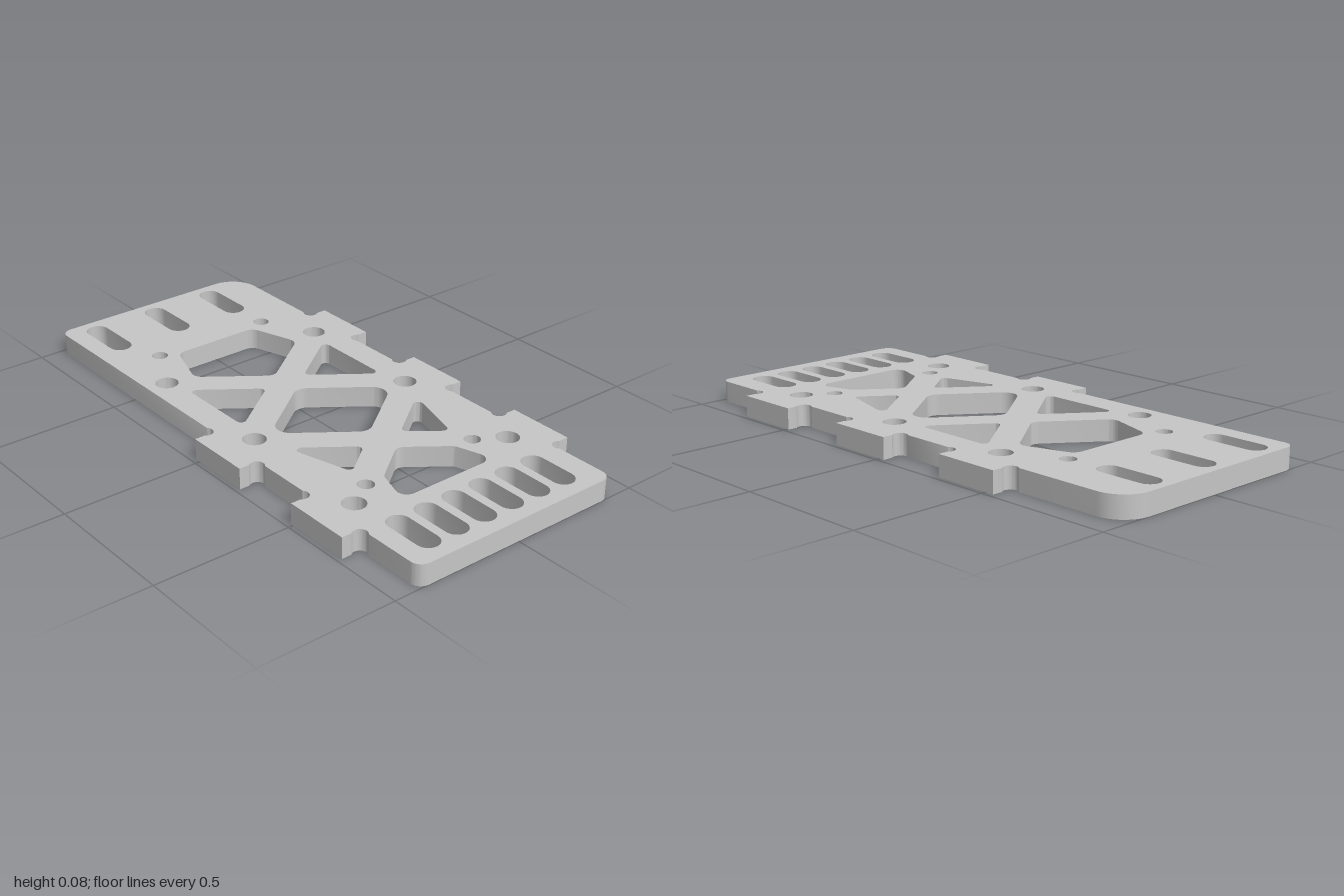
import * as THREE from 'three';
import { toCreasedNormals } from 'three/addons/utils/BufferGeometryUtils.js';

const THICK = 0.077, HALF_W = 0.409, TAB_X = 0.483;
const V = (x, z) => new THREE.Vector2(x, z);

// Points along an arc, angles in radians
function arc(cx, cz, r, a0, a1, n = 12) {
  return Array.from({ length: n + 1 }, (_, i) => {
    const a = a0 + (a1 - a0) * i / n;
    return V(cx + r * Math.cos(a), cz + r * Math.sin(a));
  });
}

// Polygon corner p replaced by a tangent arc of radius r
function fillet(prev, p, next, r) {
  const u = prev.clone().sub(p).normalize(), w = next.clone().sub(p).normalize();
  const half = Math.acos(u.dot(w)) / 2;
  const c = p.clone().addScaledVector(u.clone().add(w).normalize(), r / Math.sin(half));
  const t = r / Math.tan(half);
  const s = p.clone().addScaledVector(u, t).sub(c), e = p.clone().addScaledVector(w, t).sub(c);
  const a0 = s.angle();
  let d = e.angle() - a0;
  if (d > Math.PI) d -= 2 * Math.PI;
  if (d < -Math.PI) d += 2 * Math.PI;
  return arc(c.x, c.y, r, a0, a0 + d);
}

const rounded = (pts, r) => pts.flatMap((p, i) =>
  fillet(pts[(i + pts.length - 1) % pts.length], p, pts[(i + 1) % pts.length], r));

// Slot running along z with round ends
const slot = (x, z0, z1, r) => [
  ...arc(x, z1 - r, r, 0, Math.PI), ...arc(x, z0 + r, r, Math.PI, 2 * Math.PI),
];
const circle = (x, z, r) => arc(x, z, r, 0, 2 * Math.PI, 32).slice(0, -1);
const mirror = pts => pts.map(p => V(-p.x, p.y));

// One edge of the plate, back to front, with tabs and round relief notches
function edge(tabCentres) {
  const k = 0.0185, r = k * Math.SQRT2, q = Math.PI / 4;
  return tabCentres.flatMap(z => {
    const a = z - 0.123, b = z + 0.123;
    return [
      ...arc(HALF_W + k, a - k, r, 5 * q, q),
      V(TAB_X, a), V(TAB_X, b),
      ...arc(HALF_W + k, b + k, r, -q, -5 * q),
    ];
  });
}

function outline() {
  const c = [V(-HALF_W, -1), V(HALF_W, -1), V(HALF_W, 1), V(-HALF_W, 1)];
  return [
    ...fillet(c[3], c[0], c[1], 0.04),
    ...fillet(c[0], c[1], c[2], 0.11),
    ...edge([-0.412, 0.102, 0.615]),
    ...fillet(c[1], c[2], c[3], 0.04),
    ...fillet(c[2], c[3], c[0], 0.04),
    ...mirror(edge([0.102, 0.615])).reverse(),
  ];
}

function cutouts() {
  const holes = [];
  // Mounting slots at the back and front
  for (const x of [-0.296, -0.036, 0.219]) holes.push(slot(x, -0.967, -0.728, 0.041));
  for (let i = 0; i < 6; i++) holes.push(slot(-0.295 + i * 0.1152, 0.738, 0.95, 0.041));
  // Round holes
  for (const s of [-1, 1]) {
    for (const z of [-0.412, 0.101, 0.613]) holes.push(circle(s * 0.331, z, 0.041));
    for (const z of [-0.607, 0.55]) holes.push(circle(s * 0.23, z, 0.029));
  }
  // Central windows between the cross braces
  holes.push(rounded([V(-0.167, -0.58), V(0.167, -0.58), V(0.23, -0.39), V(0, -0.22), V(-0.23, -0.39)], 0.04));
  holes.push(rounded([V(0, -0.095), V(0.268, 0.102), V(0, 0.299), V(-0.268, 0.102)], 0.052));
  holes.push(rounded([V(0, 0.433), V(0.153, 0.547), V(0.197, 0.684), V(-0.197, 0.684), V(-0.153, 0.547)], 0.036));
  // Side triangles
  const upper = rounded([V(-0.305, -0.323), V(-0.083, -0.16), V(-0.305, 0.003)], 0.018);
  const lower = rounded([V(-0.285, 0.212), V(-0.08, 0.363), V(-0.213, 0.463)], 0.018);
  holes.push(upper, mirror(upper), lower, mirror(lower));
  return holes;
}

export function createModel() {
  const group = new THREE.Group();
  group.name = 'mountingPlate';
  const grey = new THREE.MeshStandardMaterial({ color: 0xc6c6c6 });
  grey.name = 'grey';

  // Drawn with shape y = -z, then laid flat; the outline runs counter-clockwise
  const flip = pts => pts.map(p => V(p.x, -p.y));
  const shape = new THREE.Shape(flip(outline()).reverse());
  shape.holes = cutouts().map(h => new THREE.Path(flip(h)));
  const geometry = new THREE.ExtrudeGeometry(shape, { depth: THICK, bevelEnabled: false });
  geometry.rotateX(-Math.PI / 2);

  const plate = new THREE.Mesh(toCreasedNormals(geometry, 0.5), grey);
  plate.name = 'plate';
  group.add(plate);
  return group;
}
